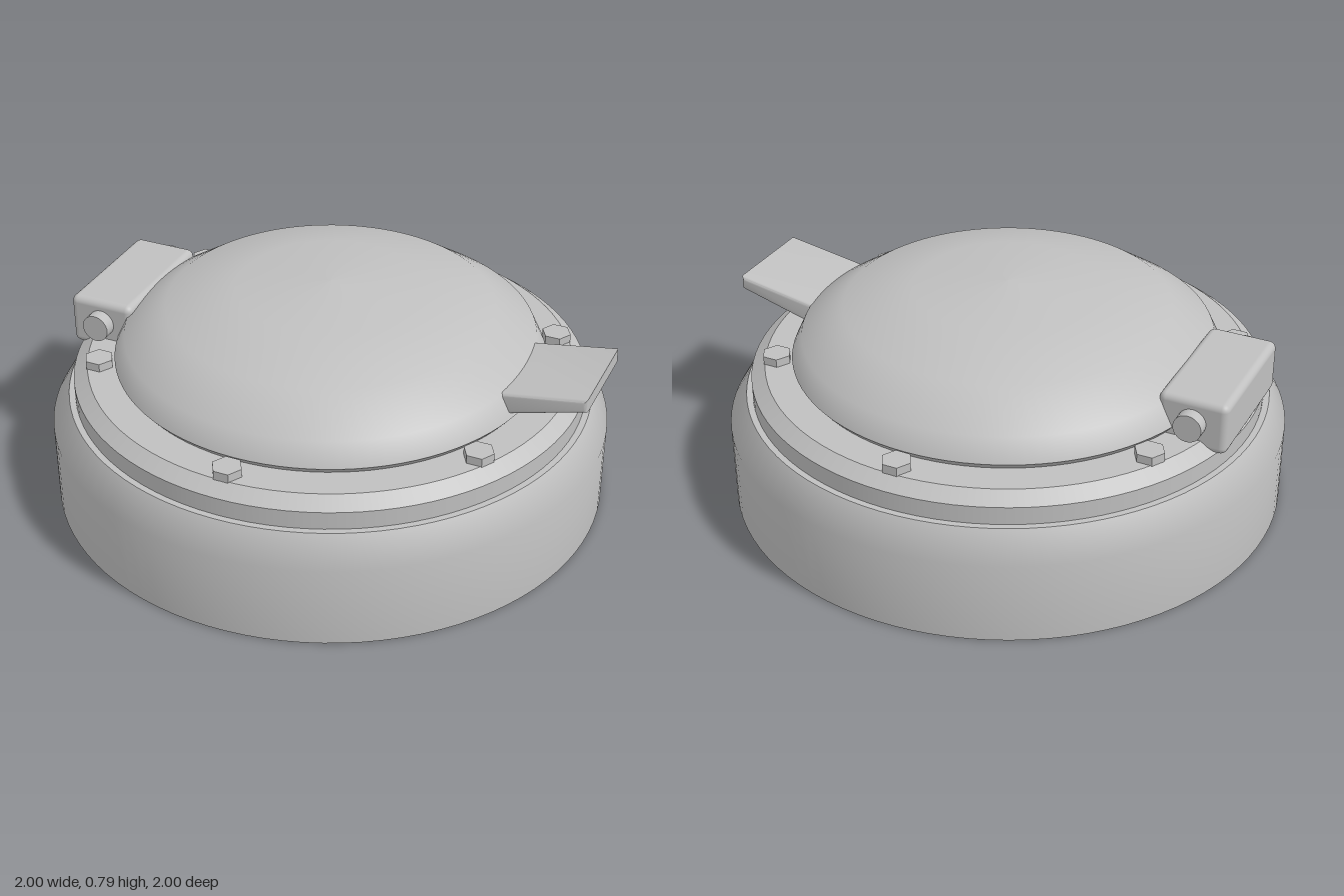
import * as THREE from 'three';
import { toCreasedNormals } from 'three/addons/utils/BufferGeometryUtils.js';
import { RoundedBoxGeometry } from 'three/addons/geometries/RoundedBoxGeometry.js';

const metal = new THREE.MeshStandardMaterial({ color: 0xc0c0c0 });
metal.name = 'grey metal';

function add(parent, name, geometry, x = 0, y = 0, z = 0) {
  const mesh = new THREE.Mesh(geometry, metal);
  mesh.name = name;
  mesh.position.set(x, y, z);
  parent.add(mesh);
  return mesh;
}

// One smooth turned surface, profile listed bottom to top
const turned = (points) =>
  new THREE.LatheGeometry(points.map(([r, y]) => new THREE.Vector2(r, y)), 96);

// A turned part made of several smooth bands with sharp edges between them
function turnedPart(parent, name, bands) {
  const group = new THREE.Group();
  group.name = name;
  bands.forEach((band, i) => add(group, `${name}Band${i + 1}`, turned(band)));
  parent.add(group);
}

export function createModel() {
  const model = new THREE.Group();
  model.name = 'roundHatch';

  // Base with sloped shoulder
  turnedPart(model, 'base', [
    [[0, 0], [1, 0]],
    [[1, 0], [1, 0.295], [0.937, 0.4]],
    [[0.937, 0.4], [0.9, 0.4]],
  ]);

  // Chamfered mounting ring
  turnedPart(model, 'ring', [
    [[0.915, 0.4], [0.915, 0.465]],
    [[0.915, 0.465], [0.865, 0.502]],
    [[0.865, 0.502], [0.7, 0.502]],
  ]);

  // Domed lid with a tucked-in lower lip
  turnedPart(model, 'lid', [
    [[0.745, 0.5], [0.768, 0.528]],
    [[0.768, 0.528], [0.73, 0.61], [0.58, 0.71], [0.335, 0.772], [0, 0.792]],
  ]);

  // Six hexagonal bolts around the ring
  const boltShape = new THREE.CylinderGeometry(0.053, 0.053, 0.036, 6).toNonIndexed();
  boltShape.computeVertexNormals();
  for (let i = 0; i < 6; i++) {
    const a = Math.PI / 6 + (i * Math.PI) / 3;
    const bolt = add(model, `bolt${i + 1}`, boltShape, 0.822 * Math.cos(a), 0.514, 0.822 * Math.sin(a));
    bolt.rotation.y = Math.PI / 6;
  }

  // Hinge block and its pin
  add(model, 'hingeBlock', new RoundedBoxGeometry(0.245, 0.188, 0.5, 4, 0.025), -0.793, 0.556, 0);
  const pin = add(model, 'hingePin', new THREE.CylinderGeometry(0.05, 0.05, 0.59, 32), -0.793, 0.565, 0);
  pin.rotation.x = Math.PI / 2;

  // Tapered handle rising outwards, with rounded edges
  const bevel = 0.015;
  const side = new THREE.Shape([
    [0.64, 0.527], [0.985, 0.624], [0.985, 0.647], [0.64, 0.588],
  ].map(([x, y]) => new THREE.Vector2(x, y)));
  const handle = new THREE.ExtrudeGeometry(side, {
    depth: 0.37 - 2 * bevel, bevelSize: bevel, bevelThickness: bevel, bevelSegments: 4,
  });
  handle.translate(0, 0, bevel - 0.185);
  add(model, 'handle', toCreasedNormals(handle, 0.6));

  return model;
}
